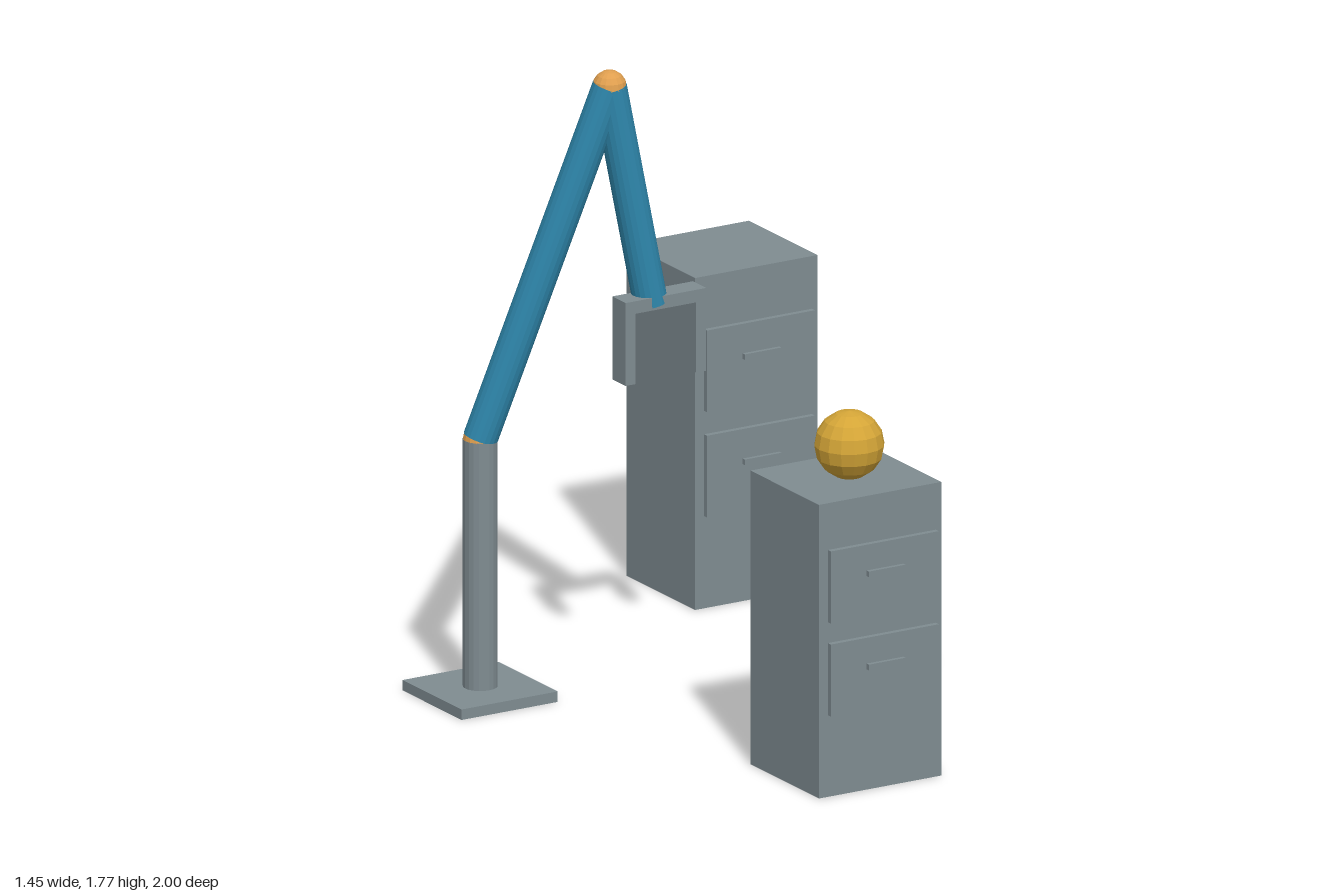
import * as THREE from 'three';

const steel = new THREE.MeshStandardMaterial({ name: 'steelGrey', color: 0x7f8c91 });
const blue = new THREE.MeshStandardMaterial({ name: 'armBlue', color: 0x2e86ab });
const gold = new THREE.MeshStandardMaterial({ name: 'ballGold', color: 0xd4a537 });
const orange = new THREE.MeshStandardMaterial({ name: 'jointOrange', color: 0xe09f4f });
for (const m of [steel, blue, gold, orange]) m.flatShading = true;

const RADIUS = 0.048;

function add(parent, name, geometry, material, x, y, z) {
  const mesh = new THREE.Mesh(geometry, material);
  mesh.name = name;
  mesh.position.set(x, y, z);
  parent.add(mesh);
  return mesh;
}

const box = (parent, name, w, h, d, x, y, z) =>
  add(parent, name, new THREE.BoxGeometry(w, h, d), steel, x, y, z);

const ball = (parent, name, r, material, x, y, z) =>
  add(parent, name, new THREE.SphereGeometry(r, 16, 8), material, x, y, z);

// Straight round bar between two points
function rod(parent, name, a, b, material) {
  const dir = b.clone().sub(a);
  const mid = a.clone().add(b).multiplyScalar(0.5);
  const mesh = add(parent, name, new THREE.CylinderGeometry(RADIUS, RADIUS, dir.length(), 20),
    material, mid.x, mid.y, mid.z);
  mesh.quaternion.setFromUnitVectors(new THREE.Vector3(0, 1, 0), dir.normalize());
}

// Cabinet with two drawer fronts held just off its face
function cabinet(name, height, x, z) {
  const g = new THREE.Group();
  g.name = name;
  g.position.set(x, 0, z);
  box(g, 'cabinetBody', 0.392, height, 0.358, 0, height / 2, 0);
  for (const f of [0.405, 0.722]) {
    box(g, 'drawerFront', 0.346, height * 0.246, 0.016, 0, height * f, 0.196);
    box(g, 'drawerHandle', 0.118, 0.016, 0.013, 0, height * (f + 0.026), 0.2095);
  }
  return g;
}

// Post, two arm links and a two-finger gripper
function robotArm() {
  const g = new THREE.Group();
  g.name = 'robotArm';
  const foot = new THREE.Vector3(-0.572, 0.03, -0.296);
  const shoulder = new THREE.Vector3(-0.572, 0.74, -0.296);
  const elbow = new THREE.Vector3(-0.235, 1.727, -0.17);
  const wrist = new THREE.Vector3(-0.128, 1.1, -0.13);

  box(g, 'basePlate', 0.308, 0.03, 0.308, foot.x, 0.015, foot.z);
  rod(g, 'post', foot, shoulder, steel);
  ball(g, 'shoulderJoint', RADIUS, orange, ...shoulder.toArray());
  rod(g, 'upperArm', shoulder, elbow, blue);
  ball(g, 'elbowJoint', RADIUS, orange, ...elbow.toArray());
  rod(g, 'forearm', elbow, wrist, blue);

  box(g, 'gripperBar', 0.258, 0.036, 0.07, -0.105, 1.111, -0.122);
  for (const s of [-1, 1]) {
    box(g, 'gripperFinger', 0.032, 0.238, 0.07, -0.105 + s * 0.113, 1.01, -0.122);
  }
  return g;
}

export function createModel() {
  const model = new THREE.Group();
  model.name = 'robotArmWithCabinets';
  model.add(cabinet('frontCabinet', 0.843, -0.062, 0.784));
  model.add(cabinet('rearCabinet', 0.953, 0.524, -0.821));
  model.add(robotArm());
  ball(model, 'cabinetBall', 0.097, gold, -0.062, 0.94, 0.802);
  ball(model, 'floorBall', 0.097, gold, 0.54, 0.1, 0.112);
  return model;
}
